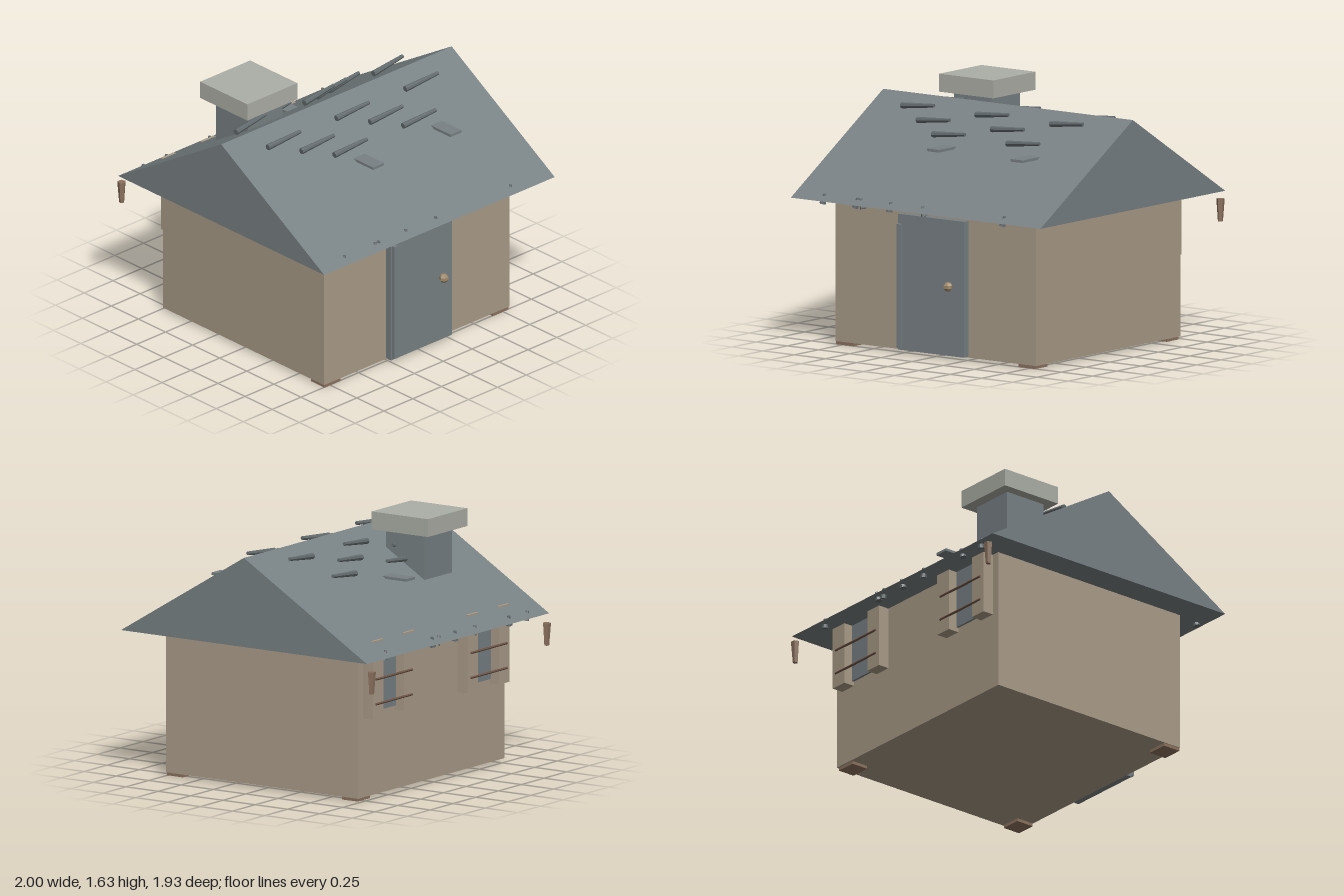
import * as THREE from 'three';

const mat = (name, color) => {
  const m = new THREE.MeshStandardMaterial({ color, flatShading: true });
  m.name = name;
  return m;
};

export function createModel() {
  const slate = mat('slate grey', 0x788184);
  const dark = mat('dark slate', 0x636b6e);
  const plaster = mat('tan plaster', 0xaa9c88);
  const stone = mat('pale stone', 0xacafa6);
  const brown = mat('brown wood', 0x8c725f);
  const rust = mat('dark brown bar', 0x6f5647);
  const brass = mat('dull brass', 0xa08a6c);

  const root = new THREE.Group();
  root.name = 'cottage';

  const add = (name, geometry, material, parent = root) => {
    const mesh = new THREE.Mesh(geometry, material);
    mesh.name = name;
    parent.add(mesh);
    return mesh;
  };
  // Box given by its extents on each axis
  const box = (name, [x0, x1], [y0, y1], [z0, z1], material, parent) => {
    const mesh = add(name, new THREE.BoxGeometry(x1 - x0, y1 - y0, z1 - z0), material, parent);
    mesh.position.set((x0 + x1) / 2, (y0 + y1) / 2, (z0 + z1) / 2);
    return mesh;
  };
  // Tapered rod running between two points
  const rod = (name, a, b, ra, rb, sides, material, parent) => {
    const p = new THREE.Vector3(...a), q = new THREE.Vector3(...b);
    const dir = q.clone().sub(p);
    const mesh = add(name, new THREE.CylinderGeometry(rb, ra, dir.length(), sides), material, parent);
    mesh.position.copy(p).add(q).multiplyScalar(0.5);
    mesh.quaternion.setFromUnitVectors(new THREE.Vector3(0, 1, 0), dir.normalize());
    return mesh;
  };

  // Walls and three foundation pads
  box('walls', [-0.805, 0.803], [0.02, 0.945], [-0.73, 0.757], plaster);
  for (const [sx, z0, z1] of [[-1, 0.63, 0.755], [1, 0.63, 0.755], [1, -0.72, -0.6]]) {
    const xs = sx < 0 ? [-0.8, -0.66] : [0.66, 0.795];
    box('foundationPad', xs, [0, 0.022], [z0, z1], brown);
  }

  // Gabled roof: triangular prism along x
  const ridgeZ = 0.014, ridgeY = 1.52, eaveY = 0.945;
  const gable = new THREE.Shape([
    new THREE.Vector2(-0.965, eaveY),
    new THREE.Vector2(0.937, eaveY),
    new THREE.Vector2(-ridgeZ, ridgeY),
  ]);
  const roofGeo = new THREE.ExtrudeGeometry(gable, { depth: 2, bevelEnabled: false });
  roofGeo.rotateY(Math.PI / 2).translate(-1, 0, 0);
  add('roof', roofGeo, slate);

  // Chimney
  box('chimneyShaft', [-0.585, -0.285], [1.1, 1.53], [-0.477, -0.18], slate);
  box('chimneyCap', [-0.652, -0.218], [1.52, 1.635], [-0.55, -0.115], stone);

  // Door with edge plank and knob
  box('door', [-0.267, 0.262], [0.025, 0.895], [0.75, 0.803], slate);
  box('doorPlank', [-0.26, -0.23], [0.04, 0.833], [0.8, 0.826], slate);
  const knob = add('doorKnob', new THREE.SphereGeometry(0.031, 6, 5), brass);
  knob.position.set(0.16, 0.473, 0.836);

  // Back windows: pane, two shutters and two bars
  for (const s of [-1, 1]) {
    const win = new THREE.Group();
    win.name = 'backWindow';
    win.position.x = s * 0.52;
    root.add(win);
    box('windowPane', [-0.115, 0.115], [0.56, 0.96], [-0.745, -0.72], slate, win);
    for (const t of [-1, 1])
      box('shutter', [t * 0.172 - 0.058, t * 0.172 + 0.058], [0.53, 1.034], [-0.807, -0.72], plaster, win);
    for (const y of [0.625, 0.785])
      rod('windowBar', [-0.2, y, -0.808], [0.2, y, -0.808], 0.008, 0.008, 6, rust, win);
  }

  // Loose roof battens: thick end near the roof, thin end lifted along the slope normal
  const rows = [
    [0.155, 1.473, [-0.6, -0.005, 0.593]],
    [0.252, 1.412, [-0.4, 0.195]],
    [0.347, 1.352, [-0.203, 0.393]],
  ];
  for (const s of [-1, 1])
    for (const [dz, y, xs] of rows)
      for (const x of xs)
        rod('roofBatten',
          [x - 0.135, y - 0.013, ridgeZ + s * (dz - 0.008)],
          [x + 0.135, y + 0.013, ridgeZ + s * (dz + 0.008)], 0.02, 0.012, 8, dark);

  // Flat slabs jutting from the slopes
  for (const x of [-0.163, 0.508])
    box('roofSlab', [x - 0.048, x + 0.048], [1.272, 1.289], [0.37, 0.577], slate);
  box('roofSlab', [-0.071, 0.025], [1.272, 1.289], [-0.555, -0.34], slate);

  // Eave pegs poking through the roof edge: [x, sideways lean]
  const pegs = {
    front: [[-0.77, -0.015], [-0.505, -0.02], [-0.48, 0.02], [-0.24, -0.01], [0.015, 0.015], [0.67, -0.015]],
    back: [[-0.83, 0.01], [-0.625, -0.015], [-0.255, 0.01], [-0.035, -0.01], [0.14, 0.015], [0.215, -0.015], [0.725, 0.01]],
  };
  for (const [x, lean] of pegs.front)
    rod('eavePeg', [x + lean, 0.922, 0.912], [x, 0.985, 0.908], 0.022, 0.01, 7, dark);
  for (const [x, lean] of pegs.back)
    rod('eavePeg', [x + lean, 0.922, -0.882], [x, 0.985, -0.888], 0.022, 0.01, 7, dark);

  // Tapered hanging pendants at the back corners
  for (const x of [-0.964, 0.957])
    rod('cornerPendant', [x, 0.745, -0.942], [x, 0.89, -0.943], 0.017, 0.028, 5, brown);

  return root;
}
